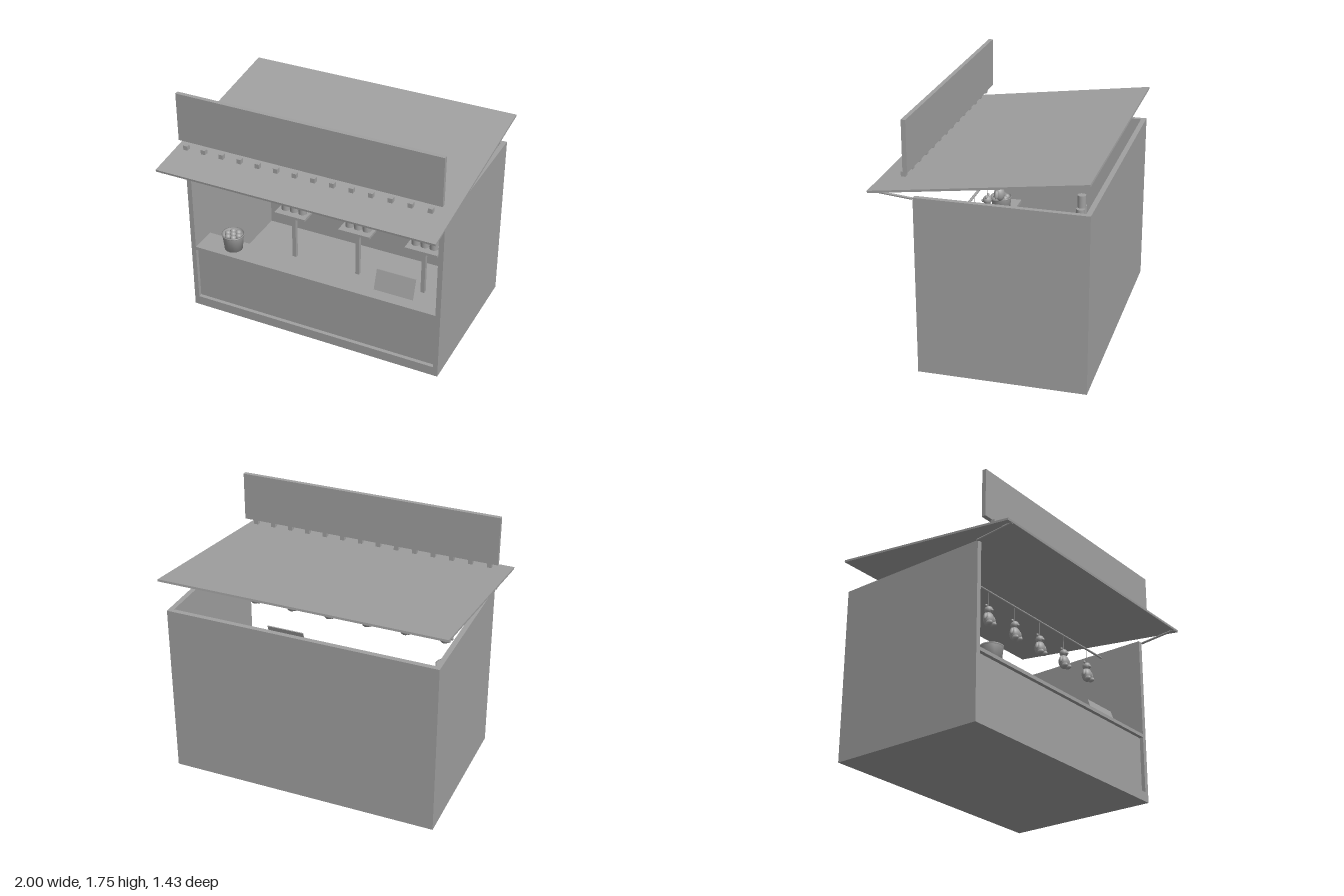
import * as THREE from 'three';

export function createModel() {
  const model = new THREE.Group();
  const grey = new THREE.MeshStandardMaterial({ color: 0xa0a0a0, side: THREE.DoubleSide });
  grey.name = 'plain grey';

  const add = (name, geometry, x, y, z, parent = model) => {
    const mesh = new THREE.Mesh(geometry, grey);
    mesh.name = name;
    mesh.position.set(x, y, z);
    parent.add(mesh);
    return mesh;
  };
  // box given by its lower and upper corners
  const block = (name, x0, x1, y0, y1, z0, z1, parent = model) =>
    add(name, new THREE.BoxGeometry(x1 - x0, y1 - y0, z1 - z0),
      (x0 + x1) / 2, (y0 + y1) / 2, (z0 + z1) / 2, parent);
  const group = (name, x, y, z) => {
    const g = new THREE.Group();
    g.name = name;
    g.position.set(x, y, z);
    model.add(g);
    return g;
  };
  const ball = (name, parent, x, y, z, rx, ry = rx, rz = rx) => {
    const mesh = add(name, sphere, x, y, z, parent);
    mesh.scale.set(rx, ry, rz);
    return mesh;
  };
  const sphere = new THREE.SphereGeometry(1, 16, 12);

  // open-topped booth shell
  block('floor', -0.95, 0.95, 0, 0.07, -0.71, 0.43);
  block('backWall', -0.915, 0.915, 0.07, 1.24, -0.71, -0.675);
  for (const s of [-1, 1]) {
    const wall = block('sideWall', -0.0175, 0.0175, 0.07, 1.24, -0.71, 0.43);
    wall.position.x = s * 0.9325;
  }
  block('frontPanel', -0.915, 0.915, 0.07, 0.48, 0.37, 0.402);
  block('counter', -0.915, 0.915, 0.48, 0.505, 0.23, 0.43);

  // sloping roof and its front props
  const roof = add('roof', new THREE.BoxGeometry(2, 0.015, 1.44), 0, 1.363, 0);
  roof.rotation.x = Math.atan2(0.19, 1.43);
  for (const s of [-1, 1]) {
    const prop = add('roofProp', new THREE.CylinderGeometry(0.008, 0.008, 0.28, 10), s * 0.955, 1.25, 0.57);
    prop.rotation.x = Math.PI / 2 - 0.095;
  }

  // sign board with a row of lamps
  block('signBoard', -0.95, 0.95, 1.4, 1.75, 0.46, 0.49);
  const lamp = new THREE.BoxGeometry(0.032, 0.032, 0.032);
  for (let i = 0; i < 14; i++) add('lamp', lamp, -0.882 + i * 0.1356, 1.37, 0.506);

  // prize rail with hanging bears
  const rail = add('prizeRail', new THREE.CylinderGeometry(0.008, 0.008, 1.81, 10), 0, 1.195, 0.1);
  rail.rotation.z = Math.PI / 2;
  for (let i = 0; i < 6; i++) {
    const bear = group('prizeBear', -0.715 + i * 0.285, 0, 0.1);
    add('string', new THREE.CylinderGeometry(0.002, 0.002, 0.12, 6), 0, 1.135, 0, bear);
    ball('body', bear, 0, 0.985, 0, 0.041, 0.052, 0.037);
    ball('head', bear, 0, 1.054, 0, 0.03);
    ball('muzzle', bear, 0, 1.046, 0.027, 0.013, 0.011, 0.012);
    for (const s of [-1, 1]) {
      ball('ear', bear, s * 0.025, 1.081, 0, 0.011, 0.011, 0.008);
      const arm = ball('arm', bear, s * 0.044, 0.991, 0.008, 0.013, 0.03, 0.014);
      arm.rotation.z = s * 0.3;
      ball('leg', bear, s * 0.022, 0.948, 0.022, 0.016, 0.018, 0.026);
    }
  }

  // stands with can pyramids
  const can = new THREE.CylinderGeometry(0.032, 0.032, 0.095, 20);
  for (const x of [-0.525, 0, 0.525]) {
    const stand = group('canStand', x, 0, -0.33);
    block('post', -0.015, 0.015, 0.07, 0.455, -0.015, 0.015, stand);
    block('shelf', -0.125, 0.125, 0.455, 0.475, -0.08, 0.08, stand);
    for (let row = 0; row < 3; row++)
      for (let i = 0; i < 3 - row; i++)
        add('can', can, (i - (2 - row) / 2) * 0.07, 0.5225 + row * 0.095, 0, stand);
  }

  // bucket filled with balls
  const bucket = group('bucket', -0.668, 0.505, 0.32);
  const profile = [[0, 0], [0.064, 0], [0.076, 0.112], [0.08, 0.112], [0.081, 0.122], [0.073, 0.122], [0.07, 0.09], [0, 0.09]]
    .map(([r, y]) => new THREE.Vector2(r, y));
  const pail = new THREE.LatheGeometry(profile, 28).toNonIndexed();
  add('pail', pail, 0, 0, 0, bucket);
  ball('throwingBall', bucket, 0, 0.112, 0, 0.022);
  for (let i = 0; i < 6; i++) {
    const a = i * Math.PI / 3;
    ball('throwingBall', bucket, 0.043 * Math.cos(a), 0.11, 0.043 * Math.sin(a), 0.022);
  }

  // leaning notice plate on the counter
  const notice = add('noticePlate', new THREE.BoxGeometry(0.285, 0.147, 0.008), 0.572, 0.575, 0.315);
  notice.rotation.x = -0.32;

  return model;
}
